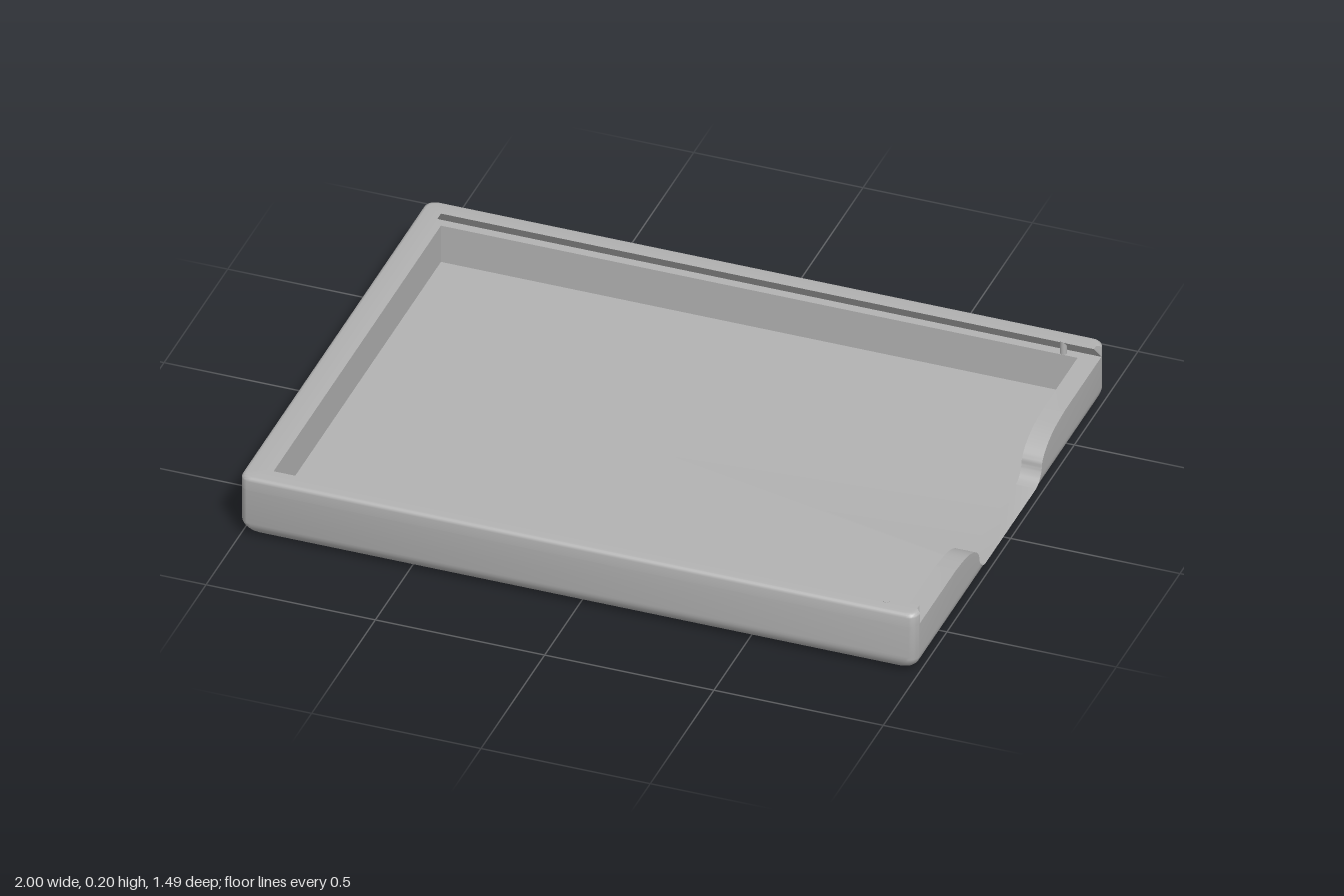
import * as THREE from 'three';
import { toCreasedNormals } from 'three/addons/utils/BufferGeometryUtils.js';

const X = 1, Z = 0.743;          // outer half sizes
const IX = 0.94, IZ = 0.685;     // inner half sizes
const FLOOR = 0.04, LEDGE = 0.16, TOP = 0.2;
const CORNER = 0.03, FILLET = 0.06, EDGE = 0.012;

// Skin between rings of points; collapsed triangles are dropped.
function loft(rings, closed) {
  const pos = [];
  const tri = (a, b, c) => {
    const n = b.clone().sub(a).cross(c.clone().sub(a));
    if (n.length() > 1e-9) pos.push(...a, ...b, ...c);
  };
  for (let i = 0; i < rings.length - 1; i++) {
    const a = rings[i], b = rings[i + 1], n = a.length;
    for (let j = 0; j < (closed ? n : n - 1); j++) {
      const k = (j + 1) % n;
      tri(a[j], b[j], a[k]);
      tri(b[j], b[k], a[k]);
    }
  }
  const g = new THREE.BufferGeometry();
  g.setAttribute('position', new THREE.Float32BufferAttribute(pos, 3));
  return toCreasedNormals(g, 0.6);
}

// Finger notch: edge of the low wall as (z, height)
const half = new THREE.SplineCurve([
  [0.2, 0.04], [0.225, 0.05], [0.243, 0.075], [0.25, 0.1], [0.28, 0.127], [0.34, 0.15], [0.43, LEDGE],
].map(p => new THREE.Vector2(...p))).getPoints(30);
const notch = [...half].reverse().map(p => ({ z: -p.x, h: p.y }))
  .concat(half.map(p => ({ z: p.x, h: p.y })));

// Plan outline points: side signs and offset from the sides
const corners = [];
[[1, 1], [-1, 1], [-1, -1], [1, -1]].forEach(([sx, sz], q) => {
  for (let i = 0; i <= 6; i++) {
    const a = (q + i / 6) * Math.PI / 2;
    corners.push({
      x: sx * (X - CORNER) + CORNER * Math.cos(a),
      z: sz * (Z - CORNER) + CORNER * Math.sin(a),
      sx, sz, h: LEDGE,
    });
  }
});
const outline = [...notch.map(p => ({ x: X, z: p.z, sx: 1, sz: 0, h: p.h })), ...corners];

const inset = (p, d, y) => new THREE.Vector3(p.x - p.sx * d, y, p.z - p.sz * d);
const clamp = THREE.MathUtils.clamp;

// Floor and walls up to the lid ledge
function bodyGeometry() {
  const inner = (p, y) => new THREE.Vector3(clamp(p.x, -IX, IX), y, clamp(p.z, -IZ, IZ));
  const rings = [outline.map(() => new THREE.Vector3(0, 0, 0))];
  for (let i = 0; i <= 10; i++) {
    const level = FILLET * (1 - Math.cos(i / 10 * Math.PI / 2));
    rings.push(outline.map(p => {
      const y = Math.min(level, p.h), t = FILLET - y;
      return inset(p, FILLET - Math.sqrt(Math.max(0, FILLET * FILLET - t * t)), y);
    }));
  }
  rings.push(outline.map(p => inset(p, 0, p.h)));
  rings.push(outline.map(p => inner(p, p.h)));
  rings.push(outline.map(p => inner(p, FLOOR)));
  rings.push(outline.map(() => new THREE.Vector3(0, FLOOR, 0)));
  return loft(rings, true);
}

// Three-sided rim with an undercut groove, open at the low wall
function rimGeometry() {
  const rows = [corners.map(p => inset(p, 0, LEDGE))];
  for (let i = 0; i <= 4; i++) {
    const a = i / 4 * Math.PI / 2;
    rows.push(corners.map(p => inset(p, EDGE * (1 - Math.cos(a)), TOP - EDGE + EDGE * Math.sin(a))));
  }
  const lip = (p, d, y, end) => new THREE.Vector3(
    clamp(p.x, -IX - d, end), y, p.sz * (IZ + d));
  rows.push(corners.map(p => lip(p, 0, TOP, X - EDGE)));
  rows.push(corners.map(p => lip(p, Z - CORNER - IZ, LEDGE, X)));
  // Collapsed end columns close both ends
  const capped = rows.map(r => [rows[0][0], ...r, rows[0][r.length - 1]]);
  return loft(capped, false);
}

export function createModel() {
  const group = new THREE.Group();
  const grey = new THREE.MeshStandardMaterial({ color: 0xb2b2b2 });
  grey.name = 'light grey';

  const add = (name, geometry) => {
    const mesh = new THREE.Mesh(geometry, grey);
    mesh.name = name;
    group.add(mesh);
    return mesh;
  };
  add('trayBody', bodyGeometry());
  add('grooveRim', rimGeometry());

  // Small pins that hold the sliding lid
  for (const s of [1, -1]) {
    const pin = add(s > 0 ? 'frontLidPin' : 'backLidPin',
      new THREE.CylinderGeometry(0.01, 0.01, TOP - LEDGE + 0.001, 16));
    pin.position.set(0.895, (TOP + LEDGE) / 2 + 0.0005, s * (IZ + 0.01));
  }
  return group;
}
